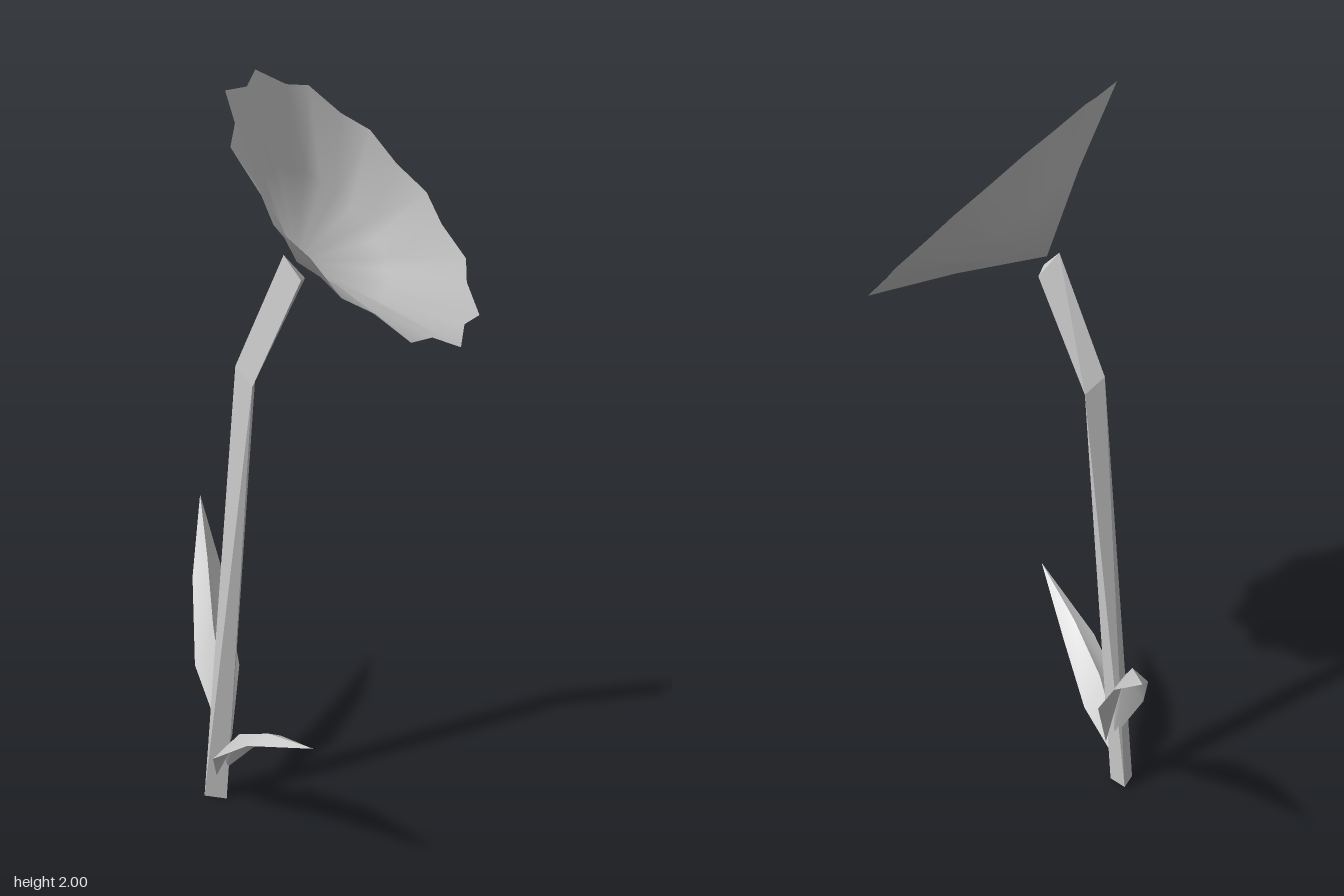
import * as THREE from 'three';

const paint = new THREE.MeshStandardMaterial({ color: 0xcccccc, side: THREE.DoubleSide });
paint.name = 'light grey';

function makeMesh(name, points, index, flat) {
  let geo = new THREE.BufferGeometry();
  geo.setAttribute('position', new THREE.Float32BufferAttribute(points.flat(), 3));
  geo.setIndex(index);
  if (flat) geo = geo.toNonIndexed();
  geo.computeVertexNormals();
  const mesh = new THREE.Mesh(geo, paint);
  mesh.name = name;
  return mesh;
}

// Three-sided stem, twisted between the ground and the bend
function makeStem() {
  const points = [
    [-0.293, 0.012, -0.109], [-0.253, 0.012, -0.143], [-0.238, 0, -0.082],
    [-0.2, 1.29, -0.045], [-0.147, 1.25, -0.044], [-0.182, 1.25, 0.01],
    [-0.122, 1.59, 0.066], [-0.073, 1.53, 0.08], [-0.105, 1.54, 0.12],
  ];
  const index = [0, 1, 2, 6, 8, 7];
  for (let ring = 0; ring < 6; ring += 3) {
    for (let i = 0; i < 3; i++) {
      const j = (i + 1) % 3;
      index.push(ring + i, ring + 3 + i, ring + j, ring + j, ring + 3 + i, ring + 3 + j);
    }
  }
  return makeMesh('stem', points, index, true);
}

// Leaf folded along a raised midrib; each row is [left edge, midrib, right edge]
function makeLeaf(name, rows, tip) {
  const leaf = new THREE.Group();
  leaf.name = name;
  const rib = [...rows.map((r) => r[1]), tip];
  for (const side of [0, 2]) {
    const edge = rows.map((r) => r[side]);
    const n = rib.length;
    const index = [];
    for (let i = 0; i < n - 1; i++) {
      const tris = [[i, i + 1, n + i]];
      if (i < n - 2) tris.push([i + 1, n + i + 1, n + i]);
      for (const [a, b, c] of tris) index.push(...(side === 0 ? [a, c, b] : [a, b, c]));
    }
    leaf.add(makeMesh(side === 0 ? 'leafHalfLeft' : 'leafHalfRight', [...rib, ...edge], index, false));
  }
  return leaf;
}

// Shallow cone with a rim of twelve points, tilted to face up and forward
function makeHead() {
  const centre = new THREE.Vector3(0, 1.72, 0.195);
  const n = new THREE.Vector3(0.48, 0.7, 0.52).normalize();
  const v = n.clone().cross(new THREE.Vector3(0.055, 0.213, -0.338)).normalize();
  const u = v.clone().cross(n);
  const count = 24;
  const place = (r, a, depth) => centre.clone()
    .addScaledVector(u, r * Math.cos(a)).addScaledVector(v, r * Math.sin(a))
    .addScaledVector(n, -depth).toArray();
  const points = [place(0, 0, 0.205)];
  const index = [];
  for (const [scale, depth] of [[0.5, 0.095], [1, 0]]) {
    for (let i = 0; i < count; i++) {
      points.push(place(scale * (i % 2 ? 0.364 : 0.398), (i / count) * Math.PI * 2, depth));
    }
  }
  for (let i = 0; i < count; i++) {
    const a = 1 + i, b = 1 + (i + 1) % count;
    index.push(0, a, b, a, a + count, b + count, a, b + count, b);
  }
  return makeMesh('flowerHead', points, index, false);
}

export function createModel() {
  const model = new THREE.Group();
  model.name = 'flower';
  model.add(makeStem(), makeHead());
  model.add(makeLeaf('frontLeaf', [
    [[-0.265, 0.085, -0.085], [-0.25, 0.165, -0.08], [-0.235, 0.1, -0.085]],
    [[-0.315, 0.21, 0.005], [-0.25, 0.285, 0.035], [-0.19, 0.21, 0.005]],
    [[-0.288, 0.335, 0.16], [-0.24, 0.375, 0.19], [-0.194, 0.34, 0.165]],
  ], [-0.225, 0.45, 0.4]));
  model.add(makeLeaf('backLeaf', [
    [[-0.205, 0.17, -0.11], [-0.22, 0.3, -0.125], [-0.235, 0.17, -0.1]],
    [[-0.146, 0.355, -0.175], [-0.205, 0.48, -0.212], [-0.264, 0.37, -0.21]],
    [[-0.112, 0.548, -0.335], [-0.155, 0.615, -0.348], [-0.2, 0.56, -0.352]],
  ], [-0.09, 0.715, -0.53]));
  return model;
}
